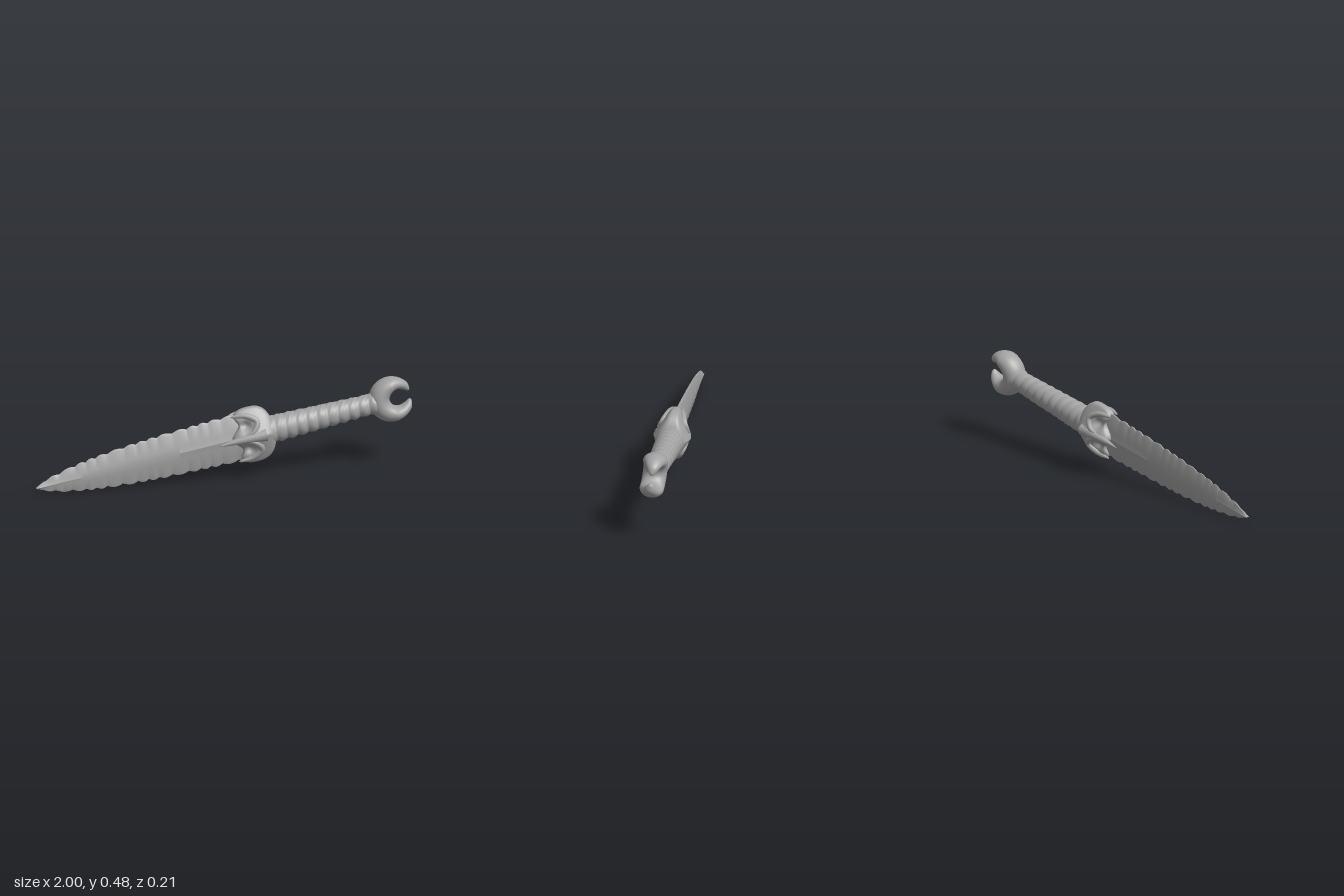
import * as THREE from 'three';
import { mergeVertices, toCreasedNormals } from 'three/addons/utils/BufferGeometryUtils.js';

const grey = new THREE.MeshStandardMaterial({ color: 0xa3a3a3 });
grey.name = 'stone grey';

// Skin over closed rings that run along a path; each ring turns right-handed about it.
function loft(rings) {
  const m = rings[0].length, index = [];
  for (let i = 0; i < rings.length - 1; i++) {
    for (let j = 0; j < m; j++) {
      const a = i * m + j, b = i * m + (j + 1) % m;
      index.push(a, b, a + m, b, b + m, a + m);
    }
  }
  const g = new THREE.BufferGeometry();
  g.setAttribute('position', new THREE.Float32BufferAttribute(rings.flat().flatMap(p => p.toArray()), 3));
  g.setIndex(index);
  g.computeVertexNormals();
  return g;
}

const makeRings = (n, m, fn) => Array.from({ length: n + 1 }, (_, i) =>
  Array.from({ length: m }, (_, j) => fn(i / n, (j / m) * Math.PI * 2)));

// Tapered tube along a curve
function sweep(points, n, m, radius) {
  const curve = new THREE.CatmullRomCurve3(points.map(p => new THREE.Vector3(...p)));
  const f = curve.computeFrenetFrames(n, false);
  return loft(makeRings(n, m, (t, a) => {
    const i = Math.round(t * n);
    return curve.getPointAt(t)
      .addScaledVector(f.normals[i], Math.cos(a) * radius(t))
      .addScaledVector(f.binormals[i], Math.sin(a) * radius(t));
  }));
}

// Blade: ridged lozenge section with chipped, scalloped edges
function bladeGeometry() {
  const widths = [[0, 0.004], [0.05, 0.027], [0.1, 0.042], [0.2, 0.064], [0.3, 0.08],
    [0.4, 0.091], [0.5, 0.1], [0.7, 0.112], [1.0, 0.122], [1.2, 0.124]];
  const width = d => {
    const k = Math.max(1, widths.findIndex(w => w[0] >= d));
    const [a, b] = [widths[k - 1], widths[k]];
    return THREE.MathUtils.mapLinear(d, a[0], b[0], a[1], b[1]);
  };
  const half = [[1, 0.1], [0.9, 0.32], [0.3, 0.72], [0, 1], [-0.3, 0.72], [-0.9, 0.32], [-1, 0.1]];
  const section = [...half, ...half.slice().reverse().map(([y, z]) => [y, -z])];
  const n = 170, length = 1.16;
  const rings = [];
  for (let i = 0; i <= n; i++) {
    const d = (i / n) * length, h = width(d);
    const thick = 0.011 + 0.018 * Math.min(1, d / 1.0);
    rings.push(section.map(([y, z]) => {
      const phase = d * 46 + (y > 0 ? 0 : 1.3) + Math.sin(d * 21) * 0.6;
      const chip = Math.abs(y) > 0.8 ? (Math.abs(Math.sin(phase)) - 0.6) * 0.011 * Math.min(1, d * 8) : 0;
      return new THREE.Vector3(d - 1.165, y * h + Math.sign(y) * chip, z * thick);
    }));
  }
  // close the tip
  rings.unshift(section.map(() => new THREE.Vector3(-1.168, 0, 0)));
  return toCreasedNormals(loft(rings), 0.4);
}

// Guard: skull-like body with a notched outline and sunken eye hollows
function guardGeometry() {
  let g = new THREE.SphereGeometry(1, 80, 56).rotateX(Math.PI / 2);
  g.deleteAttribute('uv');
  g.deleteAttribute('normal');
  g = mergeVertices(g, 1e-4);
  const p = g.attributes.position;
  for (let i = 0; i < p.count; i++) {
    const x = p.getX(i), y = p.getY(i), z = p.getZ(i);
    const c = Math.abs(z), rho = Math.hypot(x, y) || 1e-6, e = 2.6;
    const k = rho / Math.pow(Math.pow(Math.abs(x / rho), e) + Math.pow(Math.abs(y / rho), e), 1 / e) / rho;
    let X = x * k * 0.116;
    const Y = y * k * 0.147;
    if (X < 0) X *= 1 - 0.42 * Math.exp(-(((Math.abs(Y) - 0.065) / 0.038) ** 2));
    let Z = Math.pow(c, 0.42) * (0.032 + 0.066 * Math.max(0, 1 - Math.abs(Y) / 0.147));
    if (X < 0) Z *= 1 + X * 1.8;
    const hollow = Math.exp(-((X + 0.028) ** 2 + (Math.abs(Y) - 0.058) ** 2) / 0.03 ** 2);
    Z -= 0.034 * hollow * Math.min(1, c * 2);
    p.setXYZ(i, X, Y, Math.sign(z) * Math.max(Z, 0));
  }
  g.computeVertexNormals();
  return g;
}

// Grip: tapering bar with slightly spiralled wrapping, deeper underneath
function gripGeometry() {
  return loft(makeRings(150, 40, (t, a) => {
    const x = 0.07 + t * 0.61;
    const under = 0.5 - 0.5 * Math.cos(a);
    const bands = Math.abs(Math.sin(t * 34 + Math.sin(a) * 0.5)) - 0.6;
    const fine = Math.sin(t * 95 + a * 3) * Math.sin(a * 5 + t * 40);
    const lip = 0.004 * Math.exp(-(((t - 0.95) / 0.04) ** 2));
    const r = 0.072 - 0.021 * t + bands * (0.003 + 0.006 * under) + fine * 0.0012 + lip;
    return new THREE.Vector3(x, Math.cos(a) * r, Math.sin(a) * r);
  }));
}

// Pommel: open crescent, fat next to the grip and pointed at both horns
function pommelGeometry() {
  const outer = 0.119, hole = 0.045, shift = 0.035, cx = 0.752;
  const start = 0.2, span = Math.PI * 2 - start * 2;
  return loft(makeRings(90, 28, (t, a) => {
    const u = start + span * t;
    const fromTip = Math.min(t, 1 - t) * span;
    const inner = shift * Math.cos(u) + Math.sqrt(hole ** 2 - (shift * Math.sin(u)) ** 2);
    const mid = (outer + inner) / 2;
    const h = ((outer - inner) / 2) * Math.sqrt(Math.min(1, fromTip / 0.4));
    const depth = 0.063 * Math.pow(Math.min(1, fromTip / 1.3), 0.6);
    const r = mid + Math.cos(a) * h;
    return new THREE.Vector3(cx + Math.cos(u) * r, Math.sin(u) * r, -Math.sin(a) * depth);
  }));
}

export function createModel() {
  const model = new THREE.Group();
  model.name = 'dagger';
  const dagger = new THREE.Group();
  dagger.name = 'daggerBody';
  model.add(dagger);

  const add = (name, geometry) => {
    const mesh = new THREE.Mesh(geometry, grey);
    mesh.name = name;
    dagger.add(mesh);
  };

  add('blade', bladeGeometry());
  add('guard', guardGeometry());
  add('grip', gripGeometry());
  add('pommel', pommelGeometry());

  // Beak and brow ridges on both faces of the guard
  for (const s of [1, -1]) {
    add('beak', sweep([[0.06, 0, s * 0.07], [-0.03, 0, s * 0.068], [-0.11, -0.002, s * 0.062], [-0.195, -0.006, s * 0.058]],
      24, 16, t => 0.034 * Math.pow(1 - t, 0.75)));
    for (const v of [1, -1]) {
      add('browRidge', sweep([[-0.06, v * 0.012, s * 0.068], [0.0, v * 0.03, s * 0.074], [0.028, v * 0.075, s * 0.058],
        [-0.02, v * 0.112, s * 0.038], [-0.1, v * 0.122, s * 0.022]],
        32, 12, t => 0.016 * Math.sqrt(Math.sin(Math.PI * t) + 1e-6)));
    }
  }

  // Lean the whole dagger: pommel raised and slightly forward, rolled about its length
  dagger.rotation.set(-0.1, -0.047, 0.17, 'YZX');
  dagger.position.set(0.15, 0.237, 0);
  return model;
}
